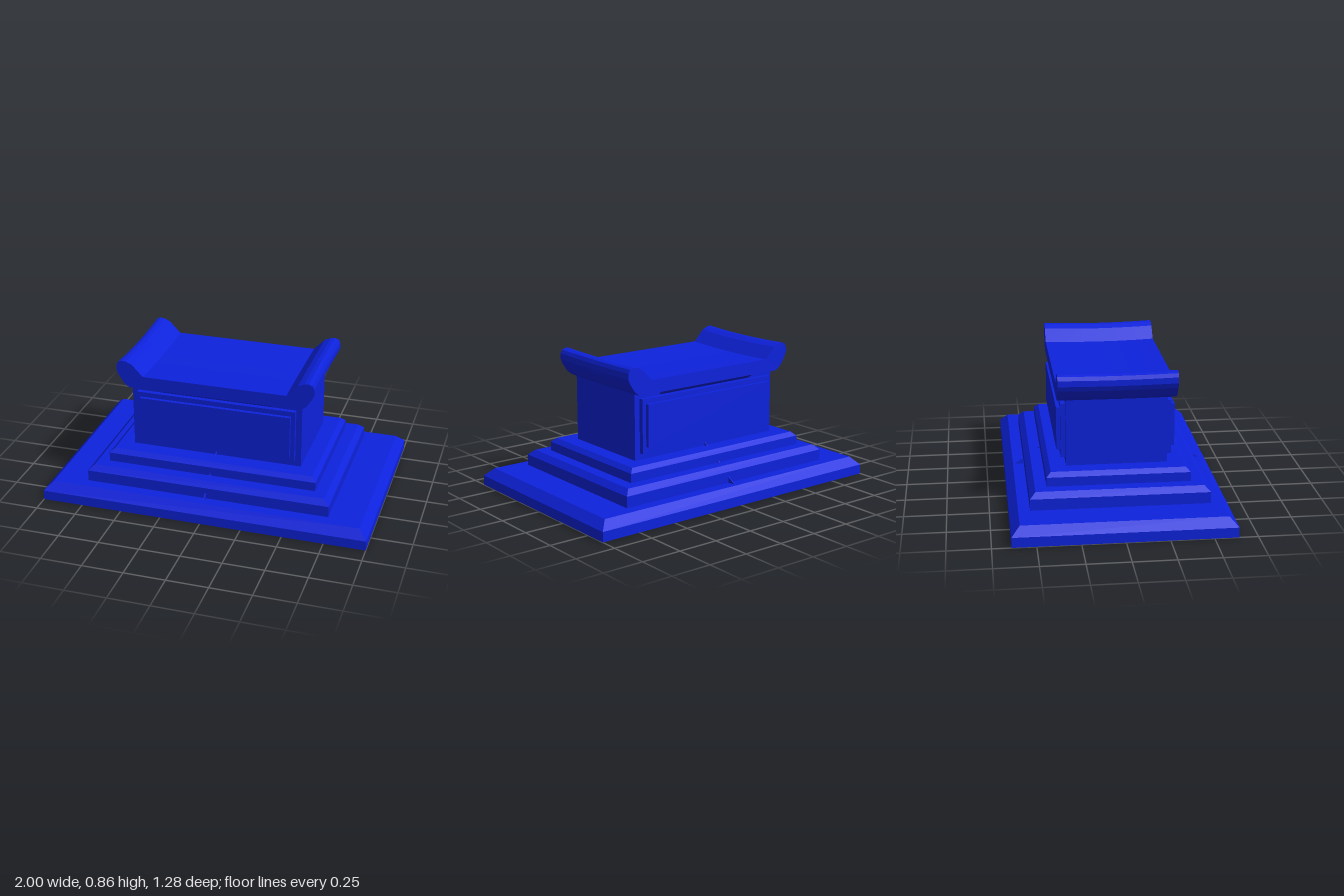
import * as THREE from 'three';

export function createModel() {
  const group = new THREE.Group();
  const blue = new THREE.MeshStandardMaterial({ color: 0x0d22dd, flatShading: true });
  blue.name = 'blue';

  const add = (name, geometry) => {
    const mesh = new THREE.Mesh(geometry, blue);
    mesh.name = name;
    group.add(mesh);
    return mesh;
  };

  // Plinth step: a block whose upper edge is bevelled inwards
  function step(name, halfX, halfZ, bottom, shoulder, top, inset) {
    const g = new THREE.BoxGeometry(halfX * 2, 2, halfZ * 2, 1, 2, 1);
    const p = g.attributes.position;
    for (let i = 0; i < p.count; i++) {
      const y = p.getY(i);
      if (y > 0.5) {
        p.setX(i, p.getX(i) - Math.sign(p.getX(i)) * inset);
        p.setZ(i, p.getZ(i) - Math.sign(p.getZ(i)) * inset);
      }
      p.setY(i, y > 0.5 ? top : y < -0.5 ? bottom : shoulder);
    }
    g.computeVertexNormals();
    add(name, g);
  }
  step('baseStep', 1, 0.64, 0, 0.06, 0.11, 0.05);
  step('middleStep', 0.75, 0.522, 0.11, 0.178, 0.21, 0.034);
  step('upperStep', 0.645, 0.42, 0.21, 0.265, 0.29, 0.027);

  // Box given by its half width and its y range
  function block(name, halfX, halfZ, y0, y1) {
    add(name, new THREE.BoxGeometry(halfX * 2, y1 - y0, halfZ * 2)).position.y = (y0 + y1) / 2;
  }
  // Body, with two raised panels stacked on both front and back
  block('body', 0.525, 0.296, 0.29, 0.7);
  block('outerPanels', 0.49, 0.325, 0.33, 0.658);
  block('innerPanels', 0.465, 0.348, 0.37, 0.628);

  // Triangular prism against a front or back wall: corners are [z, y]
  function wedge(name, width, corners) {
    for (const turn of [0, Math.PI]) {
      const shape = new THREE.Shape(corners.map(([z, y]) => new THREE.Vector2(-z, y)));
      const g = new THREE.ExtrudeGeometry(shape, { depth: width, bevelEnabled: false });
      g.translate(0, 0, -width / 2).rotateY(Math.PI / 2 + turn);
      add(name, g);
    }
  }
  // Small central ribs in the step joints and a moulding under the lid
  wedge('middleRib', 0.006, [[0.52, 0.11], [0.575, 0.113], [0.52, 0.148]]);
  wedge('upperRib', 0.006, [[0.42, 0.21], [0.437, 0.21], [0.42, 0.224]]);
  wedge('bodyRib', 0.006, [[0.295, 0.29], [0.325, 0.29], [0.295, 0.31]]);
  wedge('lidMoulding', 0.68, [[0.295, 0.66], [0.34, 0.69], [0.295, 0.69]]);

  // Lid with upturned rolled ends, sagging slightly towards the middle
  const half = [
    [0.525, 0.69], [0.557, 0.713], [0.592, 0.765], [0.605, 0.795], [0.604, 0.83],
    [0.593, 0.852], [0.57, 0.86], [0.545, 0.857], [0.507, 0.84], [0.44, 0.77],
  ];
  const outline = [...half, ...half.map(([x, y]) => [-x, y]).reverse()];
  const lid = new THREE.ExtrudeGeometry(
    new THREE.Shape(outline.map(([x, y]) => new THREE.Vector2(x, y))),
    { depth: 0.694, steps: 6, bevelEnabled: false }
  );
  lid.translate(0, 0, -0.347);
  const p = lid.attributes.position;
  for (let i = 0; i < p.count; i++) {
    const sag = 1 - (p.getZ(i) / 0.347) ** 2;
    p.setX(i, p.getX(i) * (1 - 0.012 * sag));
    p.setY(i, p.getY(i) - 0.007 * sag);
  }
  lid.computeVertexNormals();
  add('lid', lid);

  return group;
}
